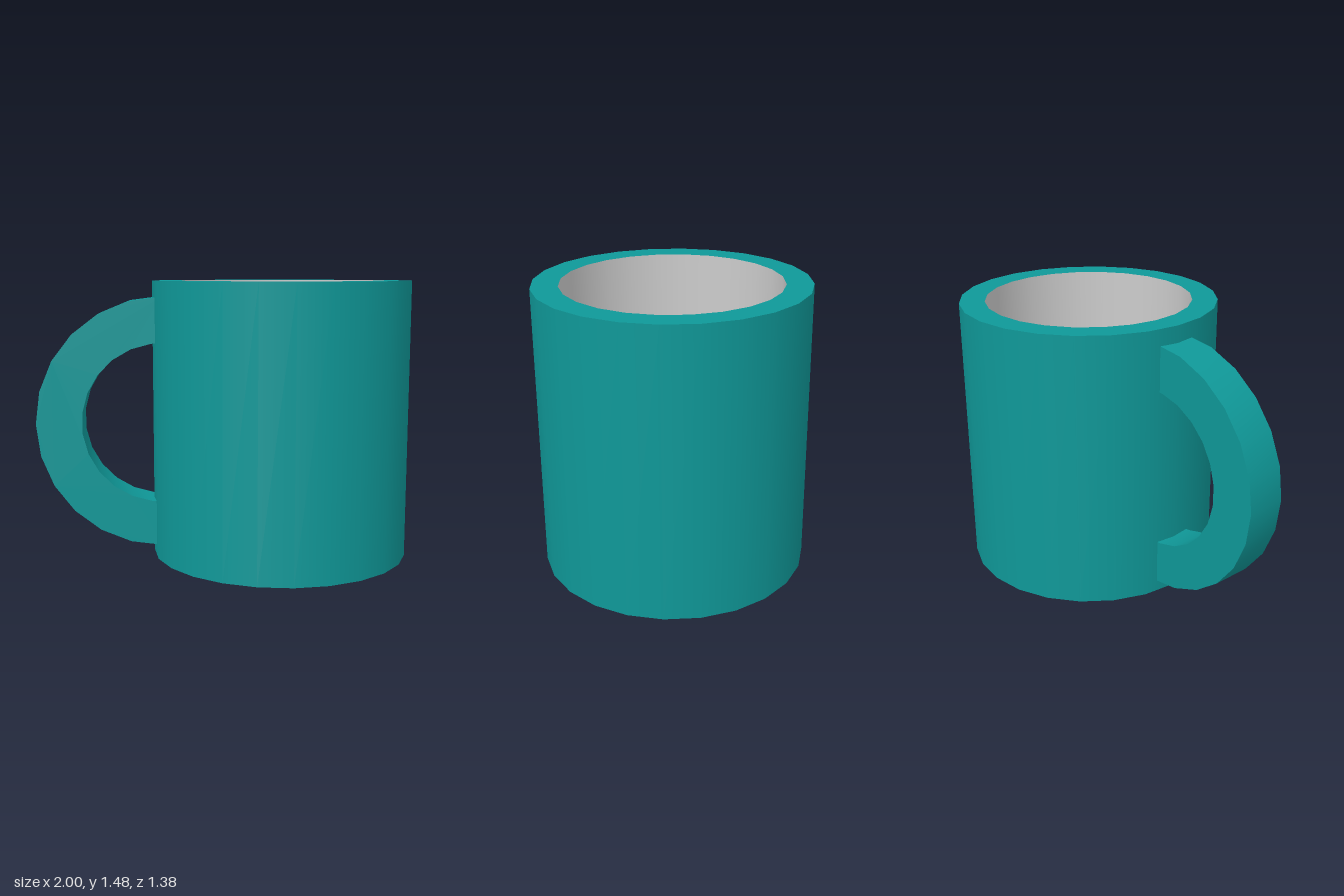
import * as THREE from 'three';
import { toCreasedNormals } from 'three/addons/utils/BufferGeometryUtils.js';

const SIDES = 24, H = 1.48, R_OUT = 0.69, R_IN = 0.555, FLOOR_LOW = 0.075, FLOOR_TOP = 0.14;
const STEP = (Math.PI * 2) / SIDES;
const TWIST = THREE.MathUtils.degToRad(2); // small turn of the inner wall's facets

// Points on a circle, from angle a0, n steps
function arc(r, a0, n, cx = 0, cy = 0) {
  return Array.from({ length: n + 1 }, (_, i) =>
    new THREE.Vector2(cx + r * Math.cos(a0 + i * STEP), cy + r * Math.sin(a0 + i * STEP)));
}

export function createModel() {
  const model = new THREE.Group();
  model.name = 'mug';
  const teal = new THREE.MeshStandardMaterial({ color: 0x0f9898 });
  const grey = new THREE.MeshStandardMaterial({ color: 0xcccccc });
  const inward = (m) => {
    const c = m.clone();
    c.side = THREE.BackSide;
    return c;
  };
  const body = new THREE.Group();
  body.name = 'body';
  body.position.x = 0.31;
  model.add(body);

  const add = (name, geometry, material, parent = body, y = 0) => {
    const mesh = new THREE.Mesh(geometry, material);
    mesh.name = name;
    mesh.position.y = y;
    parent.add(mesh);
  };
  const wall = (r, y0, y1, start = 0, segments = SIDES) =>
    new THREE.CylinderGeometry(r, r, y1 - y0, segments, 1, true, start, segments * STEP)
      .translate(0, (y0 + y1) / 2, 0);
  // Flat ring whose facets line up with both walls; dir = 1 faces up, -1 faces down
  const ring = (dir) => {
    const shape = new THREE.Shape(arc(R_OUT, 0, SIDES - 1));
    shape.holes.push(new THREE.Path(arc(R_IN, -dir * TWIST, SIDES - 1)));
    return new THREE.ShapeGeometry(shape).rotateX(-dir * Math.PI / 2);
  };
  const disc = (dir) =>
    new THREE.CircleGeometry(R_IN, SIDES, -dir * TWIST).rotateX(-dir * Math.PI / 2);

  // Mug walls and rims
  add('outerWall', wall(R_OUT, 0, H), teal);
  add('innerWall', wall(R_IN, FLOOR_TOP, H, -TWIST), inward(grey));
  add('rim', ring(1), teal, body, H);
  add('footRing', ring(-1), grey);

  // Floor and the shallow recess beneath it, with a two-facet bare patch
  add('floor', disc(1), teal, body, FLOOR_TOP);
  add('underside', disc(-1), teal, body, FLOOR_LOW);
  add('recessWall', wall(R_IN, 0, FLOOR_LOW, -TWIST, SIDES - 2), inward(teal));
  add('recessPatch', wall(R_IN, 0, FLOOR_LOW, -TWIST - 2 * STEP, 2), inward(grey));

  // Handle: half ring on the right, its ends sunk into the wall
  const cx = -0.33, cy = 0.727, rOut = 0.67, rIn = 0.428;
  const inner = [
    new THREE.Vector2(cx, cy + rIn),
    ...arc(rIn, Math.PI / 2 + STEP / 2, SIDES / 2 - 1, cx, cy),
    new THREE.Vector2(cx, cy - rIn),
  ];
  const profile = new THREE.Shape([...arc(rOut, Math.PI / 2, SIDES / 2, cx, cy), ...inner.reverse()]);
  const handle = new THREE.ExtrudeGeometry(profile, { depth: 0.215, bevelEnabled: false })
    .translate(0, 0, -0.105);
  add('handle', toCreasedNormals(handle, 0.6), teal, model);

  return model;
}
